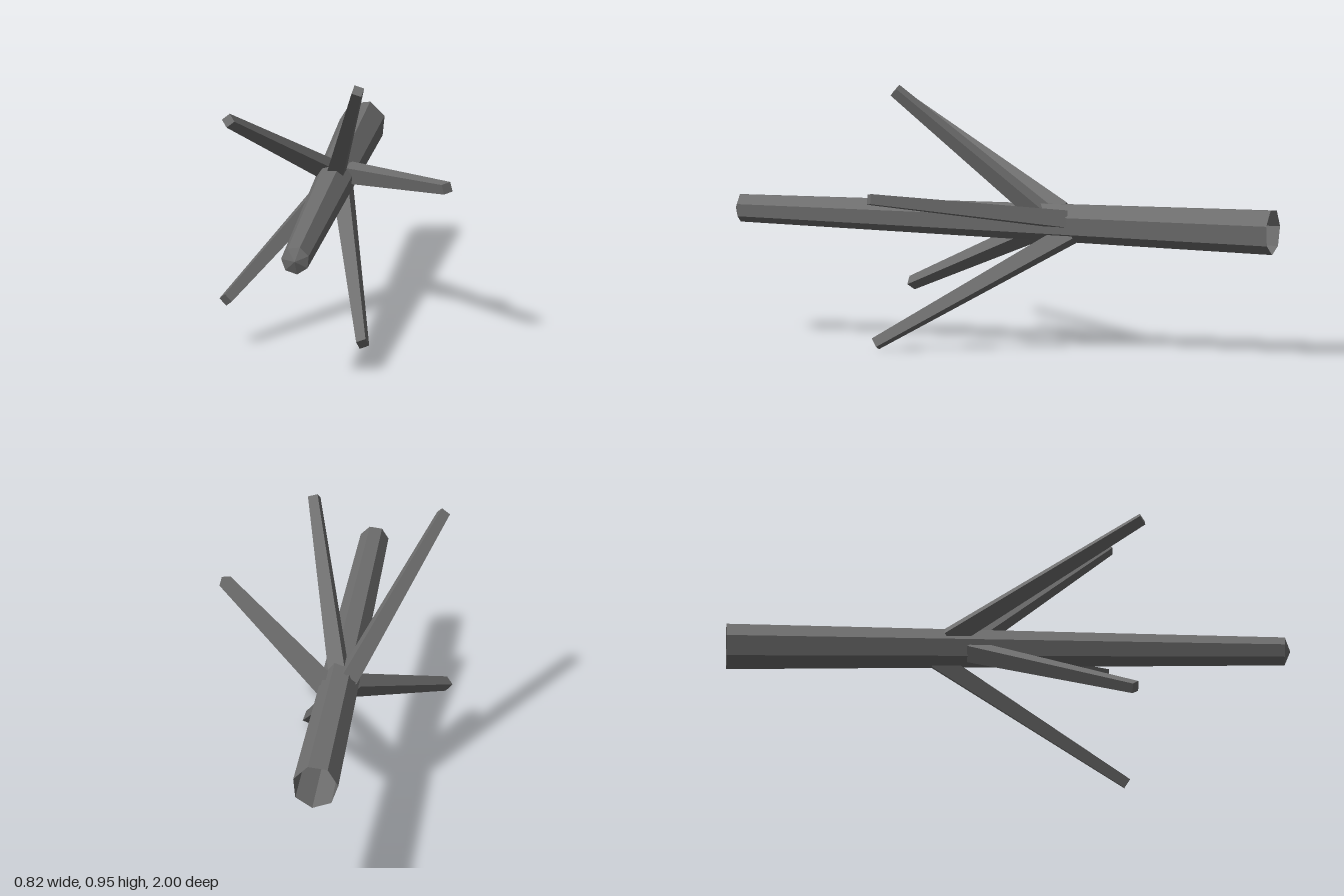
import * as THREE from 'three';

const bark = new THREE.MeshStandardMaterial({ color: 0x6e6e6e, flatShading: true, side: THREE.DoubleSide });

// Tapered limb along +y: open at the base, closed at the tip
function limb(name, sides, baseRadius, tipRadius, length, point, phiStart) {
  const profile = [[baseRadius, 0], [tipRadius, length], [0, length + point]]
    .map(([r, y]) => new THREE.Vector2(r, y));
  const mesh = new THREE.Mesh(new THREE.LatheGeometry(profile, sides, phiStart), bark);
  mesh.name = name;
  return mesh;
}

// Base and tip centres of the side branches
const branches = [
  ['upperLeftBranch', [-0.065, 0.495, -0.137], [0.075, 0.93, 0.36]],
  ['upperRightBranch', [-0.1, 0.492, -0.21], [-0.375, 0.836, 0.47]],
  ['leftBranch', [-0.035, 0.478, -0.235], [0.393, 0.583, 0.355]],
  ['lowerRightBranch', [-0.105, 0.437, -0.13], [-0.387, 0.173, 0.445]],
  ['lowerLeftBranch', [-0.055, 0.427, -0.255], [0.1, 0.022, 0.425]],
];

export function createModel() {
  const group = new THREE.Group();
  group.name = 'branch';

  // Seven-sided main stem lying along z, with a blunt point at the front
  const stem = limb('mainStem', 7, 0.083, 0.051, 1.98, 0.02, -Math.PI / 2 - 0.1);
  stem.rotation.x = Math.PI / 2;
  stem.position.set(-0.073, 0.463, -1);
  group.add(stem);

  // Square side branches, one face turned towards the stem
  for (const [name, from, to] of branches) {
    const start = new THREE.Vector3(...from);
    const along = new THREE.Vector3(...to).sub(start);
    const branch = limb(name, 4, 0.043, 0.0255, along.length(), 0, Math.PI / 4);
    along.normalize();
    const across = new THREE.Vector3().crossVectors(along, new THREE.Vector3(0, 0, 1)).normalize();
    const out = new THREE.Vector3().crossVectors(across, along);
    branch.quaternion.setFromRotationMatrix(new THREE.Matrix4().makeBasis(across, along, out));
    branch.position.copy(start);
    group.add(branch);
  }
  return group;
}
